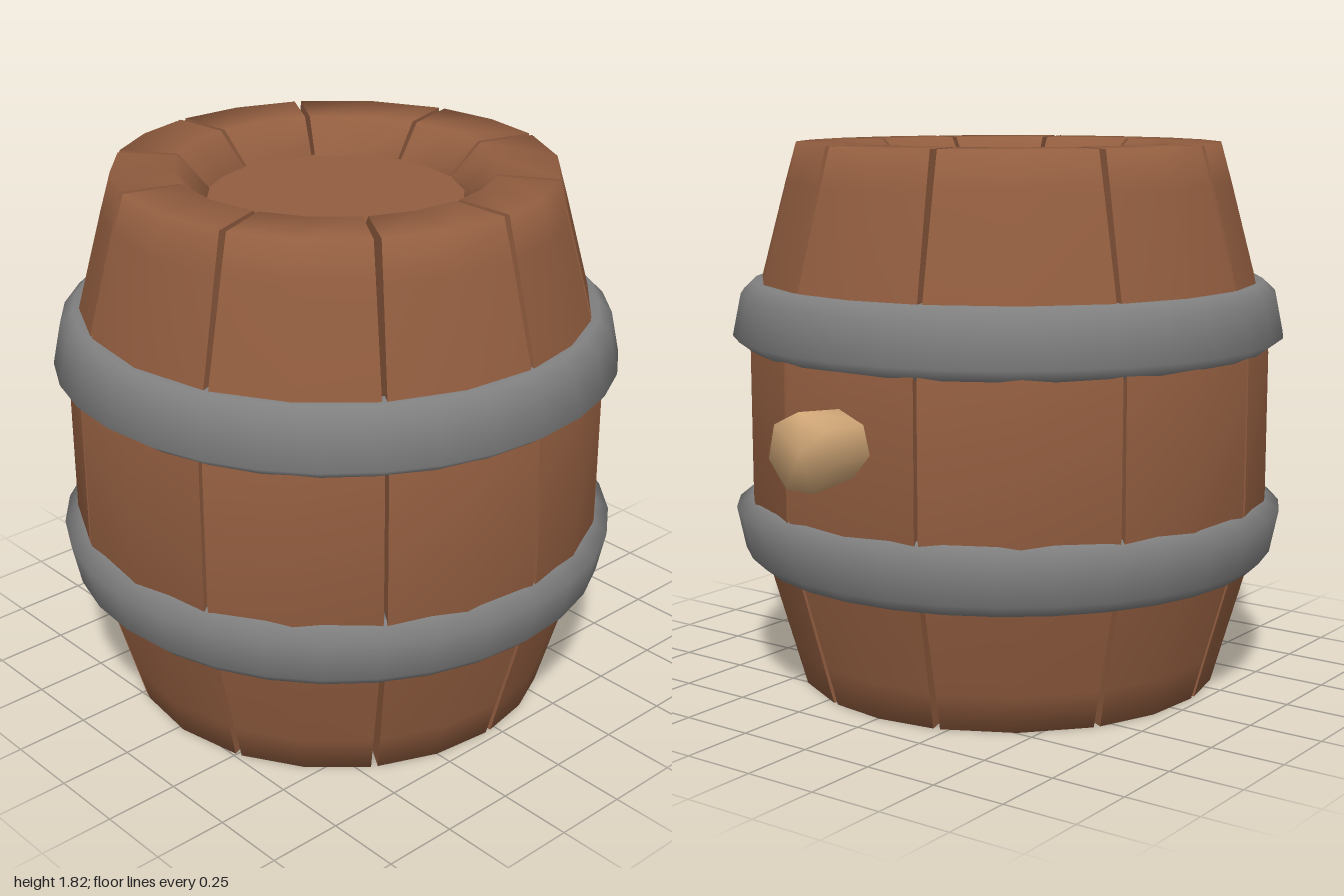
import * as THREE from 'three';
import { mergeVertices, toCreasedNormals } from 'three/addons/utils/BufferGeometryUtils.js';

const CENTER_Z = 0.068;
const HEIGHT = 1.82;

const wood = new THREE.MeshStandardMaterial({ color: 0x935e40 });
const iron = new THREE.MeshStandardMaterial({ color: 0x808080 });
const cork = new THREE.MeshStandardMaterial({ color: 0xd2a878 });

// Stave cross-section (radius, height), counter-clockwise
const STAVE_PROFILE = [
  [0.41, 0.1], [0.57, 0], [0.715, 0], [0.752, 0.13], [0.835, 0.42], [0.885, 0.65],
  [0.885, 1.14], [0.835, 1.38], [0.752, 1.69], [0.715, HEIGHT], [0.52, HEIGHT], [0.41, 1.71],
];

// Joints between staves, in degrees clockwise from the back
const JOINTS = [-17.3, 16.7, 56.4, 87.2, 122.3, 159, 197.6, 232, 265, 301, 342.7];

// Extrudes the profile, then bends the extrusion around the barrel axis
function staveGeometry(startDeg, endDeg) {
  const shape = new THREE.Shape(STAVE_PROFILE.map(([r, y]) => new THREE.Vector2(r, y)));
  const geo = new THREE.ExtrudeGeometry(shape, { depth: 1, steps: 2, bevelEnabled: false });
  geo.deleteAttribute('uv');
  const pos = geo.attributes.position;
  for (let i = 0; i < pos.count; i++) {
    const r = pos.getX(i), y = pos.getY(i);
    // the joints open slightly towards both ends
    const gap = 0.2 + 0.7 * Math.abs(y / HEIGHT * 2 - 1);
    const t = THREE.MathUtils.degToRad(
      THREE.MathUtils.lerp(startDeg + gap, endDeg - gap, pos.getZ(i)));
    pos.setXYZ(i, r * Math.sin(t), y, -r * Math.cos(t));
  }
  return toCreasedNormals(geo, 1.36);
}

function addMesh(parent, name, geometry, material) {
  const mesh = new THREE.Mesh(geometry, material);
  mesh.name = name;
  parent.add(mesh);
  return mesh;
}

export function createModel() {
  const model = new THREE.Group();
  model.name = 'barrel';

  const body = new THREE.Group();
  body.name = 'body';
  body.position.z = CENTER_Z;
  model.add(body);

  // Staves
  const staves = new THREE.Group();
  staves.name = 'staves';
  body.add(staves);
  for (let i = 0; i < JOINTS.length - 1; i++) {
    addMesh(staves, `stave${i + 1}`, staveGeometry(JOINTS[i], JOINTS[i + 1]), wood);
  }

  // Core whose ends are the recessed lids
  const core = addMesh(body, 'lids', new THREE.CylinderGeometry(0.425, 0.425, 1.61, 32), wood);
  core.position.y = HEIGHT / 2;

  // Iron hoops, mirrored about mid-height
  const hoopProfile = [
    [0.8, 0.42], [0.86, 0.42], [0.902, 0.46], [0.931, 0.6], [0.87, 0.645], [0.8, 0.645], [0.8, 0.42],
  ];
  for (const [name, upper] of [['lowerHoop', false], ['upperHoop', true]]) {
    const points = hoopProfile.map(([r, y]) => new THREE.Vector2(r, upper ? 1.785 - y : y));
    if (upper) points.reverse();
    addMesh(body, name, new THREE.LatheGeometry(points, 32), iron);
  }

  // Bung at the back, softly shaded
  let plug = new THREE.CylinderGeometry(0.128, 0.1, 0.3, 7, 1);
  plug.deleteAttribute('uv');
  plug.deleteAttribute('normal');
  plug = mergeVertices(plug);
  plug.computeVertexNormals();
  const bung = addMesh(model, 'bung', plug, cork);
  bung.rotation.x = -Math.PI / 2;
  bung.position.set(0, 0.925, -0.85);

  return model;
}
